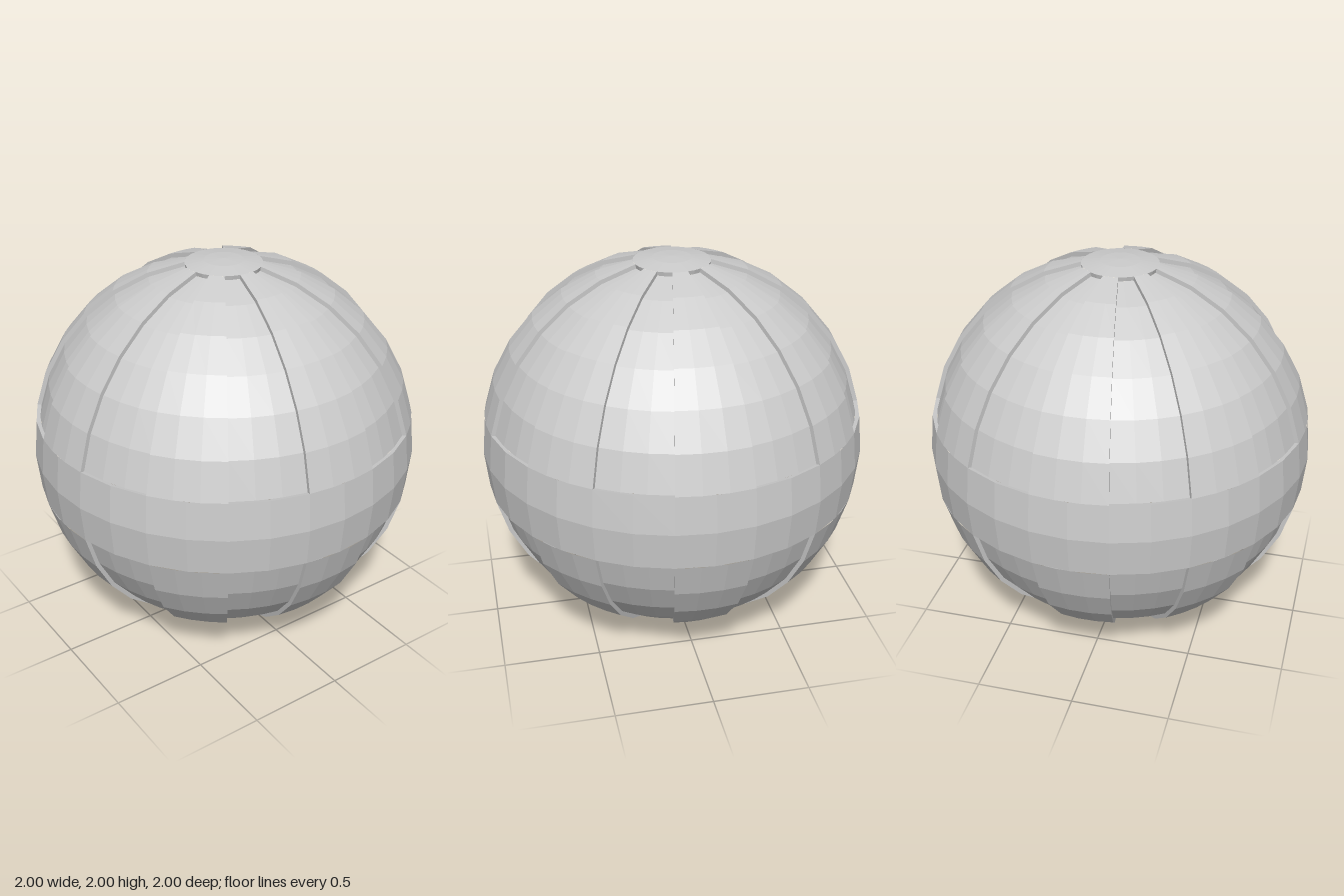
import * as THREE from 'three';

const STEP = Math.PI / 16;   // angle of one facet (32 around, 16 from pole to pole)
const INNER = 0.978;         // radius of the sunken panels

export function createModel() {
  const model = new THREE.Group();
  model.name = 'panelledSphere';
  const ball = new THREE.Group();
  ball.name = 'ball';
  ball.position.y = 1;
  model.add(ball);

  const skin = new THREE.MeshStandardMaterial({ color: 0xcccccc, flatShading: true });
  const wallSkin = new THREE.MeshStandardMaterial({ color: 0xcccccc, flatShading: true, side: THREE.DoubleSide });

  const add = (parent, name, geometry, material = skin) => {
    const mesh = new THREE.Mesh(geometry, material);
    mesh.name = name;
    parent.add(mesh);
    return mesh;
  };

  // Sphere patch; azimuth a is counted in facets from +z towards +x, polar p in facets from the top
  const patch = (radius, a, aCount, p, pCount) => new THREE.SphereGeometry(
    radius, aCount, pCount, Math.PI / 2 + a * STEP, aCount * STEP, p * STEP, pCount * STEP);

  // Radial step along a meridian
  const sideWall = (a) => new THREE.RingGeometry(INNER, 1, 6, 1, Math.PI / 2 - 7 * STEP, 6 * STEP)
    .rotateY(a * STEP - Math.PI / 2);

  // Radial step along a parallel, from facet 1 to 3
  const endWall = (p) => {
    const r = Math.sin(p * STEP), y = Math.cos(p * STEP);
    return new THREE.CylinderGeometry(r, r * INNER, y * (1 - INNER), 2, 1, true, STEP, 2 * STEP)
      .translate(0, y * (1 + INNER) / 2, 0);
  };

  // Equator band
  add(ball, 'equatorBand', patch(1, 0, 32, 7, 2));

  // Upper half, and the same turned over for the lower half
  ['upper', 'lower'].forEach((side, i) => {
    const half = new THREE.Group();
    half.name = side + 'Half';
    half.rotation.x = i * Math.PI;
    ball.add(half);

    add(half, side + 'PoleCap', patch(1, 0, 32, 0, 1));

    // Eight raised ribs alternating with eight sunken panels
    for (let k = 0; k < 8; k++) {
      const sector = new THREE.Group();
      sector.name = side + 'Sector' + (k + 1);
      sector.rotation.y = k * 4 * STEP;
      half.add(sector);
      add(sector, 'rib', patch(1, -1, 2, 1, 6));
      add(sector, 'sunkenPanel', patch(INNER, 1, 2, 1, 6));
      for (const a of [1, 3]) add(sector, 'panelSideWall', sideWall(a), wallSkin);
      for (const p of [1, 7]) add(sector, 'panelEndWall', endWall(p), wallSkin);
    }
  });

  return model;
}
